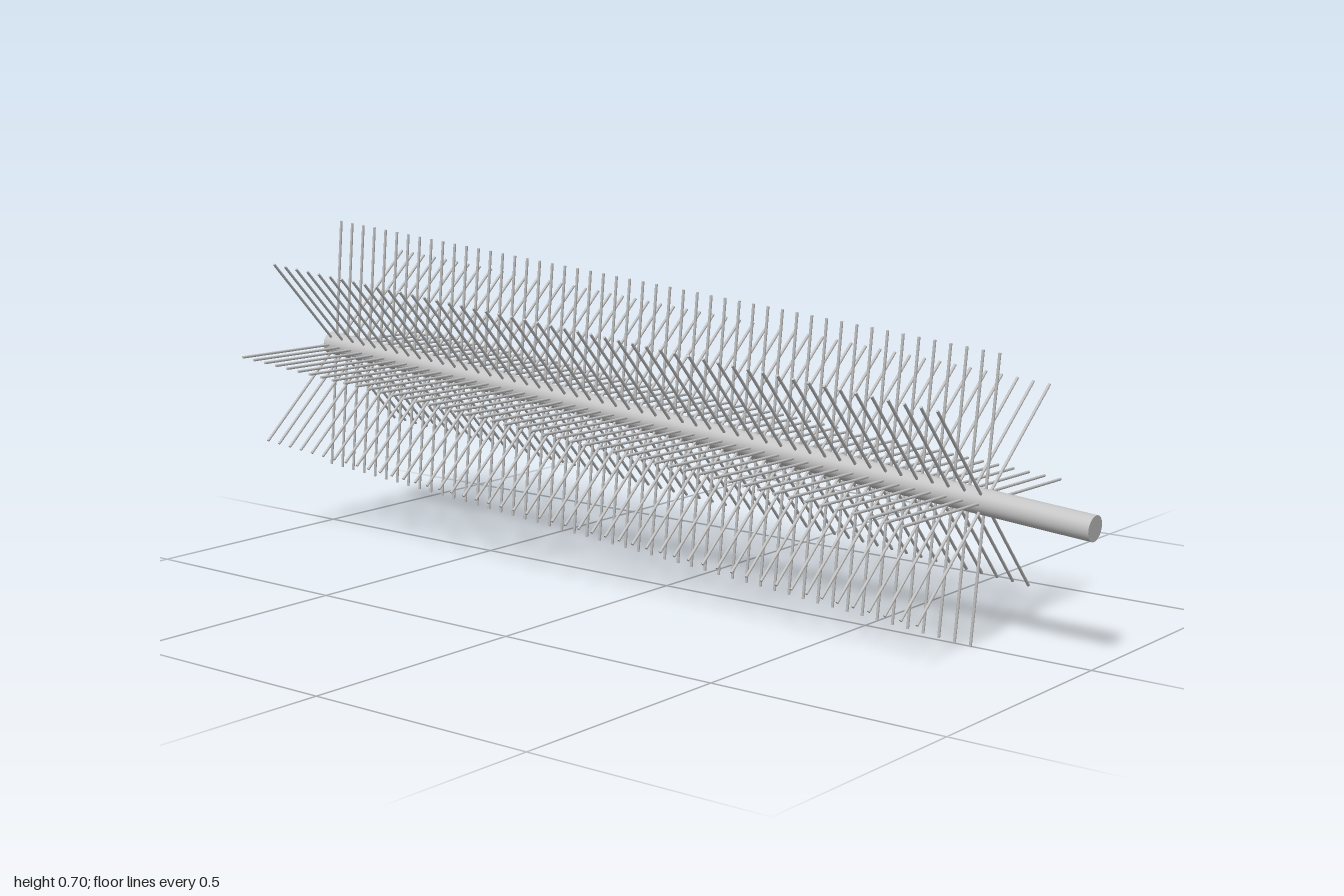
import * as THREE from 'three';
import { mergeGeometries } from 'three/addons/utils/BufferGeometryUtils.js';

const SHAFT_LENGTH = 1.994, SHAFT_RADIUS = 0.0255;
const BRISTLE_LENGTH = 0.286, BRISTLE_RADIUS = 0.003;
const RINGS = 50, ROWS = 8;
const FIRST_RING = -0.977, LAST_RING = 0.767;

export function createModel() {
  const grey = new THREE.MeshStandardMaterial({ color: 0xc4c4c4 });
  grey.name = 'light grey metal';

  const model = new THREE.Group();
  model.name = 'bristleBrush';

  // The brush lies along x, tilted down towards +x
  const brush = new THREE.Group();
  brush.name = 'tiltedBrush';
  brush.position.y = 0.345;
  brush.rotation.z = -0.077;
  model.add(brush);

  // Shaft, bare at the +x end as a handle
  const shaftGeometry = new THREE.CylinderGeometry(SHAFT_RADIUS, SHAFT_RADIUS, SHAFT_LENGTH, 32);
  shaftGeometry.rotateZ(-Math.PI / 2);
  const shaft = new THREE.Mesh(shaftGeometry, grey);
  shaft.name = 'shaft';
  shaft.position.x = 0.004;
  brush.add(shaft);

  // One straight row of bristles, standing out from the shaft axis
  const bristles = [];
  for (let i = 0; i < RINGS; i++) {
    const x = THREE.MathUtils.lerp(FIRST_RING, LAST_RING, i / (RINGS - 1));
    const bristle = new THREE.CylinderGeometry(BRISTLE_RADIUS, BRISTLE_RADIUS, BRISTLE_LENGTH, 8);
    bristles.push(bristle.translate(x, BRISTLE_LENGTH / 2, 0));
  }
  const rowGeometry = mergeGeometries(bristles);

  // Rows repeated around the shaft
  for (let i = 0; i < ROWS; i++) {
    const row = new THREE.Mesh(rowGeometry, grey);
    row.name = `bristleRow${i + 1}`;
    row.rotation.x = (i / ROWS) * Math.PI * 2 - 0.013;
    brush.add(row);
  }
  return model;
}
